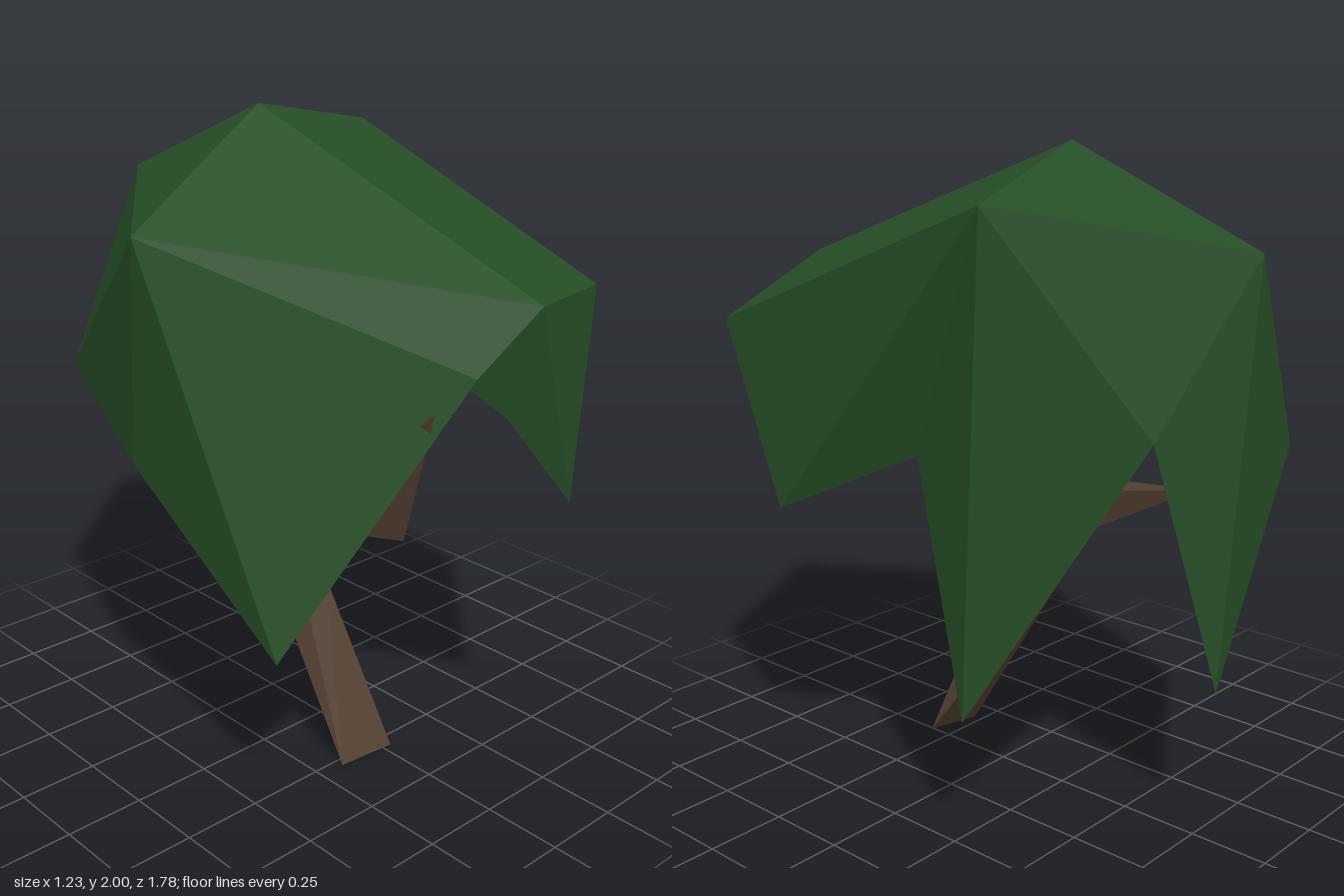
import * as THREE from 'three';
import { ConvexGeometry } from 'three/addons/geometries/ConvexGeometry.js';

const foliage = new THREE.MeshStandardMaterial({ color: 0x264f26, flatShading: true });
foliage.name = 'leaf green';
const bark = new THREE.MeshStandardMaterial({ color: 0x544131, flatShading: true });
bark.name = 'bark brown';

// Corners of the canopy: crown, upper rim, hanging tips and the notches between them
const corners = {
  crown: [-0.05, 2.0, -0.22],
  left: [-0.615, 1.7, -0.1], front: [-0.05, 1.6, 0.89], rightFront: [0.615, 1.48, 0.56],
  rightBack: [0.615, 1.87, -0.46], back: [-0.02, 1.73, -0.89],
  tip1: [-0.57, 0.58, 0.44], tip2: [0.215, 0.96, 0.81], tip3: [0.61, 0.93, 0.35],
  tip4: [0.56, 0.43, -0.34], tip5: [0.03, 0.485, -0.83],
  notch1: [-0.18, 1.41, 0.79], notch2: [0.52, 1.16, -0.14], notch3: [0.24, 1.24, -0.74],
  notch4: [-0.38, 1.13, -0.79], notch5: [-0.58, 1.0, -0.19],
};

// Canopy faces, counter-clockwise from outside
const topFaces = [
  'crown left front', 'crown front rightFront', 'crown rightFront rightBack',
  'crown rightBack back', 'crown back left',
];
const sideFaces = [
  'left notch1 front', 'left tip1 notch1', 'notch1 tip2 front', 'front tip2 rightFront',
  'rightFront tip3 rightBack', 'tip3 notch2 rightBack', 'notch2 tip4 rightBack',
  'tip4 notch3 rightBack', 'rightBack notch3 back', 'notch3 tip5 back',
  'tip5 notch4 back', 'back notch4 left', 'notch4 notch5 left', 'notch5 tip1 left',
];
const underFaces = [
  'notch1 tip1 notch5', 'rightFront tip2 notch1', 'notch2 tip3 rightFront',
  'notch3 tip4 notch2', 'notch4 tip5 notch3',
  'notch1 notch5 notch2', 'rightFront notch1 notch2',
  'notch2 notch5 notch3', 'notch5 notch4 notch3',
];

function facetMesh(name, faces) {
  const positions = faces.flatMap(f => f.split(' ').flatMap(key => corners[key]));
  const geometry = new THREE.BufferGeometry();
  geometry.setAttribute('position', new THREE.Float32BufferAttribute(positions, 3));
  geometry.computeVertexNormals();
  const mesh = new THREE.Mesh(geometry, foliage);
  mesh.name = name;
  return mesh;
}

// A faceted piece of wood spanning a few points
function woodMesh(name, points) {
  const mesh = new THREE.Mesh(
    new ConvexGeometry(points.map(p => new THREE.Vector3(...p))), bark);
  mesh.name = name;
  return mesh;
}

export function createModel() {
  const model = new THREE.Group();
  model.name = 'tree';

  const canopy = new THREE.Group();
  canopy.name = 'canopy';
  canopy.add(
    facetMesh('canopyTop', topFaces),
    facetMesh('canopySides', sideFaces),
    facetMesh('canopyUnderside', underFaces));

  // Joints shared by the trunk and its branches
  const knee = [-0.08, 0.57, 0.11], crotch = [-0.12, 0.67, 0];
  const headLeft = [-0.16, 0.98, -0.32], headRight = [-0.05, 0.85, -0.32];
  const headBack = [-0.03, 0.98, -0.36], elbow = [-0.315, 0.84, 0.17];

  const wood = new THREE.Group();
  wood.name = 'wood';
  wood.add(
    // Leaning trunk on a thin foot
    woodMesh('trunk', [[-0.165, 0, 0.28], [0.02, 0.01, 0.31], knee, crotch, headLeft, headRight]),
    // Front branch: narrow to the elbow, then widening up into the leaves
    woodMesh('frontBranch', [knee, crotch, [-0.08, 0.64, 0.04], elbow]),
    woodMesh('frontLimb', [elbow, [-0.21, 0.89, 0.57], [-0.27, 1.32, 0.73], [-0.23, 1.06, 0.4]]),
    // Short branches at the head of the trunk
    woodMesh('sideBranch', [headLeft, headRight, headBack, [0.14, 0.98, -0.04]]),
    woodMesh('backBranch', [headLeft, headRight, headBack, [-0.03, 1.05, -0.7]]),
    woodMesh('upperTwig', [headLeft, [-0.15, 0.93, -0.3], [-0.13, 0.97, -0.34], [-0.2, 1.12, -0.3]]));

  model.add(canopy, wood);
  return model;
}
